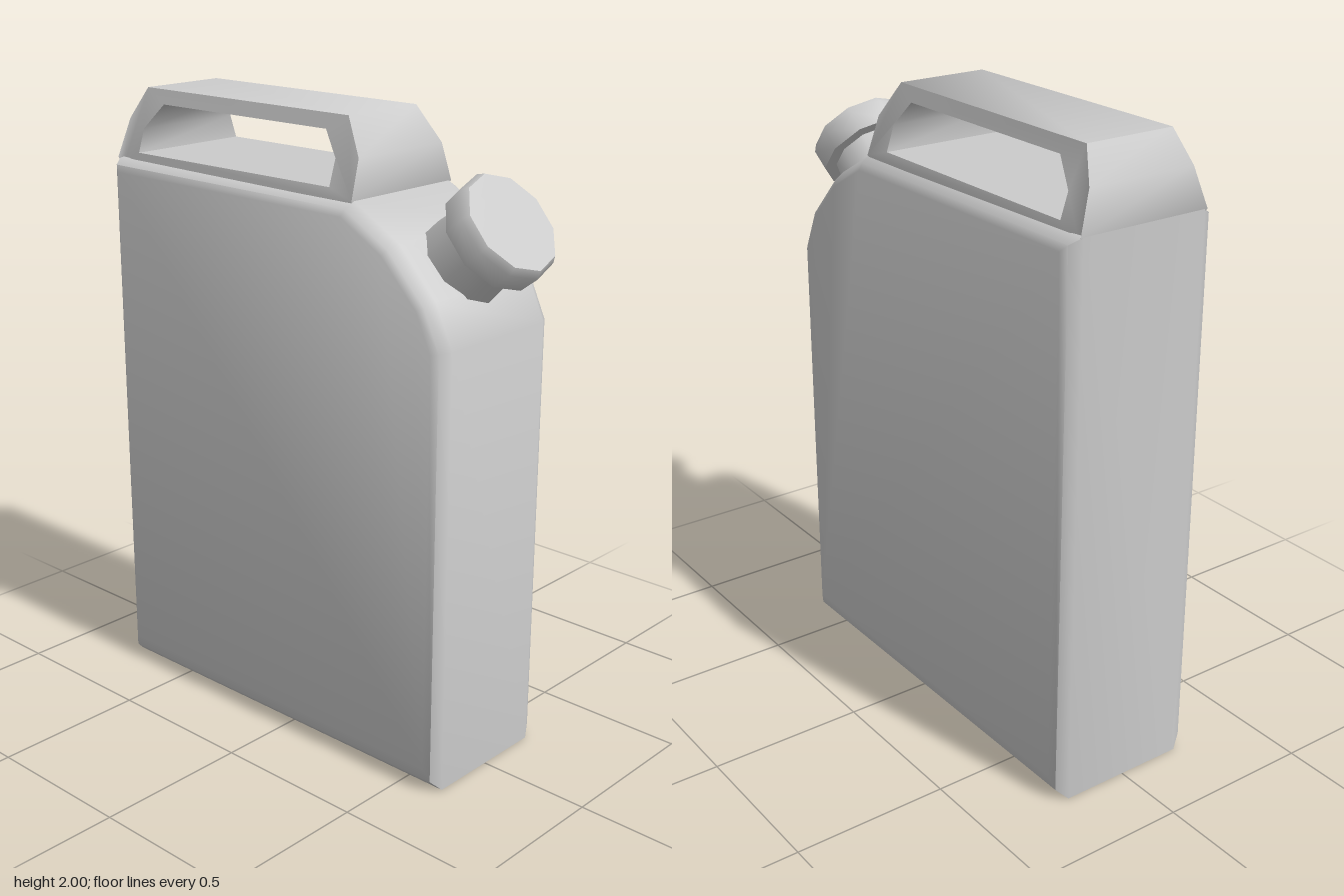
import * as THREE from 'three';
import { toCreasedNormals } from 'three/addons/utils/BufferGeometryUtils.js';

const CREASE = 1.0;
const grey = new THREE.MeshStandardMaterial({ color: 0xcccccc });

function part(name, geometry, crease = CREASE) {
  const mesh = new THREE.Mesh(toCreasedNormals(geometry, crease), grey);
  mesh.name = name;
  return mesh;
}

// Profiles are listed as [z, y]; in 2D the first axis is -z so they read as seen from +x.
const toPoints = (list) => list.map(([z, y]) => new THREE.Vector2(-z, y));

// Shrinks a counter-clockwise outline by d with mitred corners.
function inset(points, d) {
  const n = points.length;
  const normal = (a, b) => new THREE.Vector2(a.y - b.y, b.x - a.x).normalize();
  return points.map((p, i) => {
    const n1 = normal(points[(i + n - 1) % n], p);
    const n2 = normal(p, points[(i + 1) % n]);
    const k = d / (1 + n1.dot(n2));
    return p.clone().addScaledVector(n1.add(n2), k);
  });
}

// Tank: side profile lofted across x, with rounded side edges
function tankGeometry() {
  const profile = toPoints([
    [0.63, 0], [-0.765, 0], [-0.765, 1.777], [0.26, 1.772],
    [0.43, 1.676], [0.57, 1.53], [0.63, 1.4],
  ]);
  // half width, inset of the outline, height of the lower edge
  const half = [[0.262, 0.04, 0.08], [0.248, 0.02, 0.035], [0.213, 0, 0]];
  const layers = [
    ...half.map(([x, d, y]) => [-x, d, y]),
    ...half.slice().reverse(),
  ];
  const n = profile.length;
  const positions = [];
  const index = [];
  layers.forEach(([x, d, low], k) => {
    inset(profile, d).forEach((p, i) => {
      positions.push(x, i < 2 ? low : p.y, -p.x);
      if (k === layers.length - 1) return;
      const a = k * n + i;
      const b = k * n + (i + 1) % n;
      index.push(a, b, b + n, a, b + n, a + n);
    });
  });
  // flat sides
  const last = (layers.length - 1) * n;
  for (let i = 1; i < n - 1; i++) {
    index.push(0, i + 1, i, last, last + i, last + i + 1);
  }
  const g = new THREE.BufferGeometry();
  g.setAttribute('position', new THREE.Float32BufferAttribute(positions, 3));
  g.setIndex(index);
  return g;
}

// Handle: outline with a grip hole, narrowing towards the top
function handleGeometry() {
  const shape = new THREE.Shape(toPoints([
    [0.25, 1.75], [-0.75, 1.75], [-0.765, 1.777], [-0.745, 1.9],
    [-0.69, 2], [0.18, 2], [0.252, 1.89], [0.26, 1.772],
  ]));
  shape.holes.push(new THREE.Path(toPoints([
    [0.165, 1.8], [0.165, 1.88], [0.105, 1.955],
    [-0.6, 1.955], [-0.67, 1.875], [-0.67, 1.8],
  ])));
  const g = new THREE.ExtrudeGeometry(shape, { depth: 2, bevelEnabled: false });
  g.translate(0, 0, -1).rotateY(Math.PI / 2);
  const pos = g.attributes.position;
  for (let i = 0; i < pos.count; i++) {
    const y = pos.getY(i);
    const width = y < 1.76 ? 0.215 : 0.223 - (y - 1.777) * 0.33;
    pos.setX(i, pos.getX(i) * width);
  }
  return g;
}

const lathe = (list) =>
  new THREE.LatheGeometry(list.map(([r, y]) => new THREE.Vector2(r, y)), 10);

export function createModel() {
  const model = new THREE.Group();
  model.name = 'fuelCan';
  model.add(part('tank', tankGeometry()), part('handle', handleGeometry()));

  // Spout: tilted neck and screw cap, origin at the middle of the cap's underside
  const spout = new THREE.Group();
  spout.name = 'spout';
  spout.position.set(0, 1.677, 0.591);
  spout.rotation.x = 0.875;
  spout.add(
    part('neck', lathe([[0.145, -0.18], [0.142, -0.12], [0.128, 0.01]])),
    part('cap', lathe([
      [0, 0], [0.17, 0], [0.174, 0.07], [0.16, 0.094], [0, 0.098],
    ])),
  );
  model.add(spout);
  return model;
}
